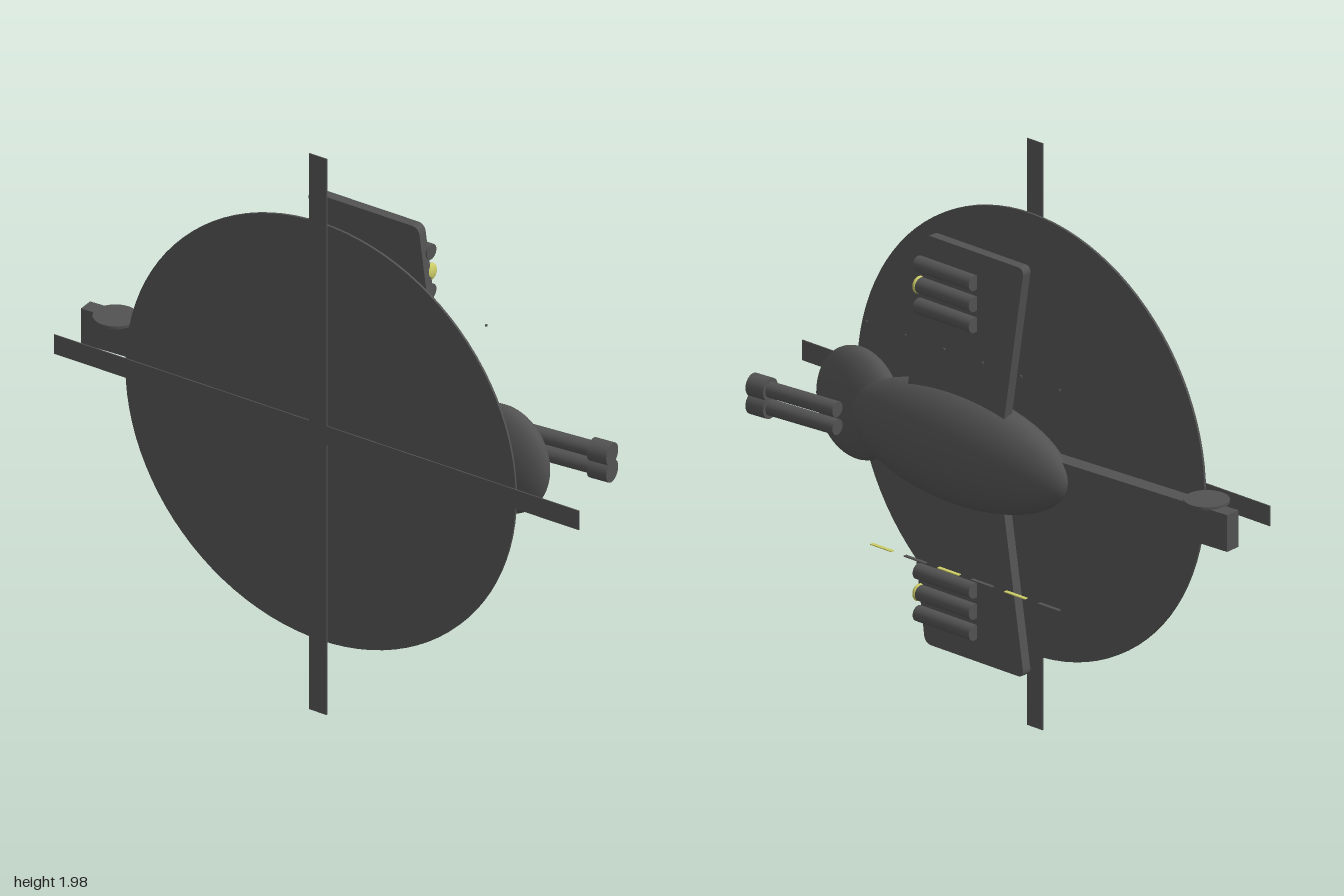
import * as THREE from 'three';

const gray = new THREE.MeshStandardMaterial({ name: 'dark gray', color: 0x525252 });
const yellow = new THREE.MeshStandardMaterial({ name: 'pale yellow', color: 0xcccc66 });

function add(parent, name, geometry, material, x, y, z) {
  const mesh = new THREE.Mesh(geometry, material);
  mesh.name = name;
  mesh.position.set(x, y, z);
  parent.add(mesh);
  return mesh;
}

const box = (w, h, d) => new THREE.BoxGeometry(w, h, d);
const ellipsoid = (rx, ry, rz) => new THREE.SphereGeometry(1, 48, 32).scale(rx, ry, rz);
const rodX = (r, length) => new THREE.CylinderGeometry(r, r, length, 24).rotateZ(-Math.PI / 2);

// Swept wing plate with rounded tip corners, drawn from the centre line outwards
function wingGeometry(side) {
  const s = new THREE.Shape();
  const r = 0.025;
  s.moveTo(-0.1, 0.05 * side);
  s.lineTo(0.31, 0.05 * side);
  s.lineTo(0.225, (0.69 - r) * side);
  s.quadraticCurveTo(0.22, 0.69 * side, 0.22 - r, 0.69 * side);
  s.lineTo(-0.2 + r, 0.69 * side);
  s.quadraticCurveTo(-0.2, 0.69 * side, -0.197, (0.69 - r) * side);
  s.closePath();
  return new THREE.ExtrudeGeometry(s, { depth: 0.034, bevelEnabled: false });
}

export function createModel() {
  const model = new THREE.Group();
  model.name = 'helicopter';
  const midY = 0.995;

  // Fuselage and cockpit
  add(model, 'fuselage', ellipsoid(0.455, 0.193, 0.115), gray, 0.1, midY, -0.038);
  add(model, 'cockpit', ellipsoid(0.17, 0.188, 0.072), gray, 0.575, midY, -0.007 + 0.012);

  // Tail boom and tail rotor
  const boom = add(model, 'tailBoom', box(0.8, 0.124, 0.055), gray, -0.6, midY, 0.009);
  boom.rotation.y = 0.055;
  add(model, 'tailRotor', new THREE.CylinderGeometry(0.072, 0.072, 0.01, 48), gray, -0.875, 1.06, 0.045);

  // Main rotor
  const disc = new THREE.CylinderGeometry(0.743, 0.743, 0.008, 96).rotateX(Math.PI / 2);
  add(model, 'rotorDisc', disc, gray, 0.008, midY, 0.188);
  add(model, 'rotorBladeAcross', box(2, 0.068, 0.004), gray, 0, midY, 0.201);
  add(model, 'rotorBladeUpright', box(0.068, 1.98, 0.0036), gray, 0.005, 0.99, 0.201);

  // Wings, each with three pods; the middle pod has a yellow tip
  for (const side of [1, -1]) {
    const wing = new THREE.Group();
    wing.name = side > 0 ? 'upperWing' : 'lowerWing';
    model.add(wing);
    add(wing, 'wingPlate', wingGeometry(side), gray, 0, midY, -0.071);
    for (let i = -1; i <= 1; i++) {
      const y = midY + side * 0.519 + i * 0.071;
      add(wing, 'pod', rodX(0.026, 0.24), gray, 0.12, y, -0.082);
      if (i === 0) add(wing, 'podTip', ellipsoid(0.014, 0.029, 0.028), yellow, 0.236, y, -0.082);
    }
  }

  // Twin gun
  const gun = new THREE.Group();
  gun.name = 'gun';
  gun.position.set(0.7, midY, -0.15);
  gun.rotation.y = 0.09;
  model.add(gun);
  for (const dy of [-0.03, 0.03]) {
    add(gun, 'barrel', rodX(0.026, 0.33), gray, 0, dy, 0);
    add(gun, 'muzzle', rodX(0.038, 0.07), gray, 0.135, dy, 0);
  }

  // Row of thin dashes on one side and tiny dots on the other
  for (let i = 0; i < 6; i++) {
    const k = i - 2.5;
    const material = i % 2 ? yellow : gray;
    add(model, 'dash', box(0.09, 0.003, 0.013), material, k * 0.143, 0.605, -0.122);
    add(model, 'dot', box(0.006, 0.006, 0.006), gray, k * 0.165, 1.355, -0.133);
  }
  return model;
}
